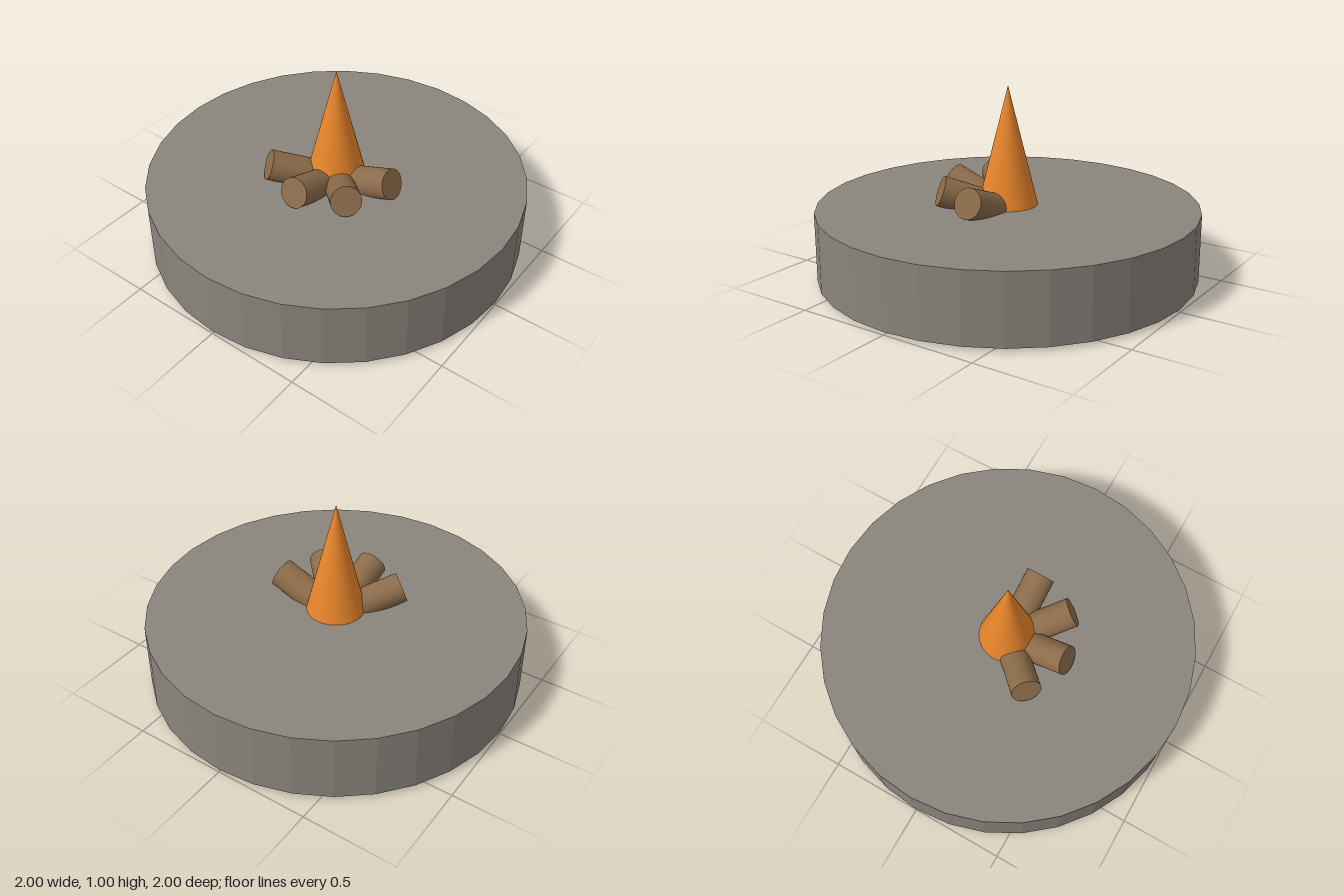
import * as THREE from 'three';

export function createModel() {
  const model = new THREE.Group();
  const stone = new THREE.MeshStandardMaterial({ color: 0x8a847c, flatShading: true });
  const fire = new THREE.MeshStandardMaterial({ color: 0xe8852b });
  const wood = new THREE.MeshStandardMaterial({ color: 0x8b6b4a });

  const add = (name, geometry, material, y) => {
    const mesh = new THREE.Mesh(geometry, material);
    mesh.name = name;
    mesh.position.y = y;
    model.add(mesh);
    return mesh;
  };

  // Round stone slab
  add('stoneBase', new THREE.CylinderGeometry(1, 1, 0.36, 32), stone, 0.195);

  // Flame cone, passing through the slab and showing just below it
  add('flame', new THREE.ConeGeometry(0.25, 1, 32), fire, 0.5);

  // Four logs fanned round the front, outer ends tilted up
  const tilt = THREE.MathUtils.degToRad(20);
  const length = 0.45;
  const logGeometry = new THREE.CylinderGeometry(0.08, 0.08, length, 32);
  for (let i = 0; i < 4; i++) {
    const angle = i * Math.PI / 4;
    const outward = new THREE.Vector3(
      Math.cos(angle) * Math.cos(tilt), Math.sin(tilt), Math.sin(angle) * Math.cos(tilt));
    const log = add('log' + (i + 1), logGeometry, wood, 0);
    log.quaternion.setFromUnitVectors(new THREE.Vector3(0, 1, 0), outward);
    log.position.set(Math.cos(angle) * 0.353, 0.46, Math.sin(angle) * 0.353)
      .addScaledVector(outward, -length / 2);
  }
  return model;
}
